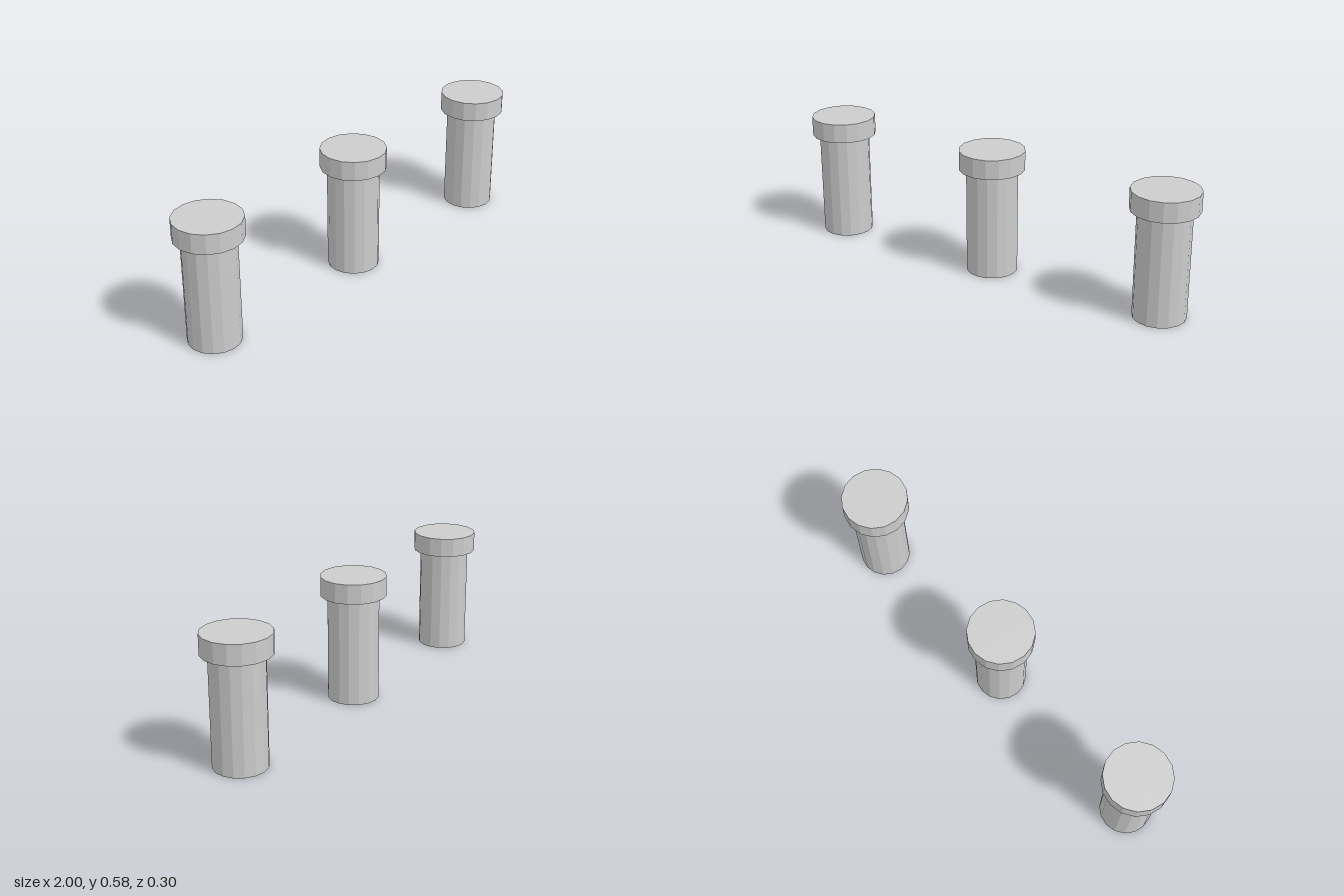
import * as THREE from 'three';

const SIDES = 16;

export function createModel() {
  const model = new THREE.Group();
  model.name = 'pegs';
  const grey = new THREE.MeshStandardMaterial({ color: 0xcccccc, flatShading: true });
  grey.name = 'light grey';

  // Upright cylinder standing on a given height
  const drum = (name, radius, bottom, top) => {
    const geometry = new THREE.CylinderGeometry(radius, radius, top - bottom, SIDES);
    geometry.translate(0, (bottom + top) / 2, 0);
    const mesh = new THREE.Mesh(geometry, grey);
    mesh.name = name;
    return mesh;
  };

  // Three identical pegs in a row, each a shaft with a wider cap
  ['rightPeg', 'middlePeg', 'leftPeg'].forEach((name, i) => {
    const peg = new THREE.Group();
    peg.name = name;
    peg.add(drum('shaft', 0.117, 0, 0.488), drum('cap', 0.149, 0.488, 0.577));
    peg.position.x = (i - 1) * 0.851;
    model.add(peg);
  });

  return model;
}
